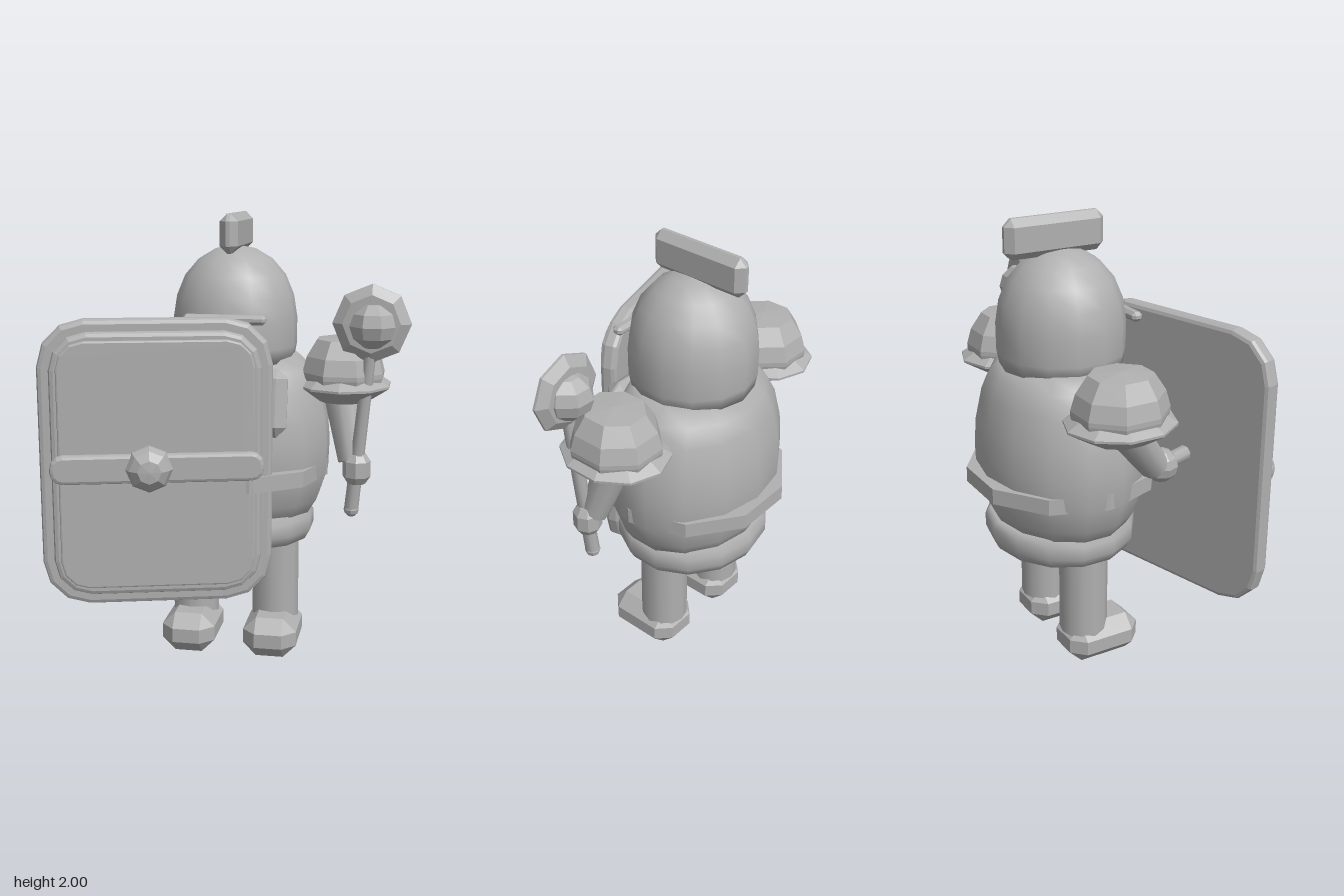
import * as THREE from 'three';
import { ConvexGeometry } from 'three/addons/geometries/ConvexGeometry.js';

const V = (x, y, z) => new THREE.Vector3(x, y, z);
const CX = -0.02, CZ = -0.14; // axis of the body

// Box with every edge and corner cut by c
function chamferBox(w, h, d, c) {
  const pts = [];
  for (const x of [-1, 1]) for (const y of [-1, 1]) for (const z of [-1, 1]) {
    const a = x * w / 2, b = y * h / 2, e = z * d / 2;
    pts.push(V(a, b - y * c, e - z * c), V(a - x * c, b, e - z * c), V(a - x * c, b - y * c, e));
  }
  return new ConvexGeometry(pts);
}

// Turned profile, listed from bottom to top
function turned(profile, sides, phase = 0) {
  return new THREE.LatheGeometry(profile.map(([r, y]) => new THREE.Vector2(r, y)), sides, phase);
}

// Slab with cut round corners and bevelled edges, back face at z = 0
function slab(w, h, r, depth, bevel) {
  const a = w / 2 - bevel, b = h / 2 - bevel;
  const s = new THREE.Shape();
  const corners = [[a - r, b - r, 0], [r - a, b - r, 1], [r - a, r - b, 2], [a - r, r - b, 3]];
  const pts = [];
  for (const [x, y, q] of corners) for (let i = 0; i <= 3; i++) {
    const t = (q + i / 3) * Math.PI / 2;
    pts.push(new THREE.Vector2(x + r * Math.cos(t), y + r * Math.sin(t)));
  }
  s.setFromPoints(pts);
  const g = new THREE.ExtrudeGeometry(s, {
    depth: depth - 2 * bevel, bevelEnabled: true, bevelSize: bevel, bevelThickness: bevel, bevelSegments: 2,
  });
  return g.translate(0, 0, bevel);
}

export function createModel() {
  const model = new THREE.Group();
  const smooth = new THREE.MeshStandardMaterial({ color: 0xb0b0b0 });
  smooth.name = 'plain grey';
  const faceted = smooth.clone();
  faceted.name = 'plain grey faceted';
  faceted.flatShading = true;

  function add(name, geo, pos, mat = faceted, parent = model) {
    const m = new THREE.Mesh(geo, mat);
    m.name = name;
    m.position.set(...pos);
    parent.add(m);
    return m;
  }
  // Tapered rod from a to b
  function rod(name, a, b, ra, rb, sides, mat) {
    const d = b.clone().sub(a);
    const m = add(name, new THREE.CylinderGeometry(rb, ra, d.length(), sides),
      a.clone().add(b).multiplyScalar(0.5).toArray(), mat);
    m.quaternion.setFromUnitVectors(V(0, 1, 0), d.normalize());
  }

  // Torso, hips and belt
  const torso = turned([[0, 0.62], [0.34, 0.64], [0.39, 0.72], [0.43, 0.84], [0.435, 0.98],
    [0.425, 1.1], [0.39, 1.24], [0.345, 1.32], [0.28, 1.38], [0, 1.4]], 14);
  add('torso', torso, [CX, 0, -0.155], smooth).scale.z = 0.82;
  const hips = turned([[0, 0.52], [0.28, 0.52], [0.34, 0.535], [0.365, 0.58], [0.365, 0.64],
    [0.34, 0.67], [0, 0.69]], 14);
  add('hips', hips, [CX, 0, -0.155], smooth).scale.z = 0.9;
  add('belt', new THREE.CylinderGeometry(0.426, 0.426, 0.07, 10, 1, false, Math.PI / 10),
    [CX, 0.865, CZ]);
  add('chestPlate', chamferBox(0.54, 0.3, 0.1, 0.045), [CX, 1.2, 0.11]).rotation.x = -0.18;

  // Helmet, crest and eye slit bar
  add('helmet', turned([[0, 1.35], [0.265, 1.355], [0.277, 1.42], [0.278, 1.54], [0.262, 1.64],
    [0.225, 1.73], [0.165, 1.8], [0.09, 1.845], [0, 1.862]], 14), [CX, 0, CZ], smooth);
  add('crest', chamferBox(0.08, 0.17, 0.46, 0.032), [CX, 1.915, -0.17]);
  add('eyeBar', chamferBox(0.36, 0.042, 0.05, 0.014), [CX, 1.56, 0.135]);

  // Legs, feet and shoulder armour
  for (const side of [-1, 1]) {
    const x = CX + side * 0.19;
    add('leg', new THREE.CylinderGeometry(0.108, 0.108, 0.44, 12), [x, 0.36, CZ], smooth);
    add('foot', chamferBox(0.245, 0.185, 0.35, 0.06), [x, 0.0925, -0.07]);
    const px = CX + side * 0.49;
    add('shoulderDome', turned([[0, 1.2], [0.19, 1.23], [0.205, 1.29], [0.205, 1.31], [0.185, 1.38],
      [0.135, 1.455], [0, 1.465]], 8, Math.PI / 8), [px, 0, CZ]).scale.x = 0.93;
    add('shoulderRim', turned([[0, 1.18], [0.13, 1.18], [0.19, 1.215], [0.24, 1.245], [0.24, 1.255],
      [0.19, 1.285], [0, 1.29]], 10), [px, 0, CZ]).scale.x = 0.9;
  }

  // Arms and hands
  rod('leftArm', V(0.455, 1.25, -0.15), V(0.52, 0.92, -0.055), 0.085, 0.06, 10, smooth);
  add('leftHand', turned([[0, -0.07], [0.04, -0.068], [0.062, -0.035], [0.062, 0.035],
    [0.04, 0.068], [0, 0.07]], 8), [0.545, 0.89, -0.035]);
  rod('rightArm', V(-0.5, 1.25, -0.14), V(-0.43, 0.98, 0.08), 0.085, 0.065, 10, smooth);
  add('rightHand', new THREE.SphereGeometry(0.075, 8, 6), [-0.42, 0.97, 0.12]);
  rod('shieldGrip', V(-0.42, 0.97, 0.12), V(-0.36, 0.97, 0.3), 0.035, 0.035, 8, smooth);

  // Mace
  const butt = V(0.525, 0.7, -0.035), tip = V(0.6, 1.48, 0);
  rod('maceShaft', butt, tip, 0.032, 0.026, 8, smooth);
  add('macePommel', new THREE.SphereGeometry(0.034, 8, 6), butt.toArray());
  const ball = add('maceBall', new THREE.SphereGeometry(0.108, 8, 6), [0.6, 1.53, -0.005]);
  ball.scale.set(0.97, 0.97, 1.1);
  ball.rotation.y = Math.PI / 8;
  const blade = turned([[0, -0.038], [0.125, -0.035], [0.17, -0.006], [0.17, 0.006],
    [0.125, 0.035], [0, 0.038]], 8);
  add('maceBlade', blade.rotateX(Math.PI / 2), [0.598, 1.54, 0]);

  // Shield, turned outward to its right
  const shield = new THREE.Group();
  shield.name = 'shield';
  shield.position.set(-0.285, 0.96, 0.293);
  shield.rotation.y = 0.27;
  model.add(shield);
  add('shieldRim', slab(0.99, 1.24, 0.18, 0.075, 0.02), [0, 0, -0.037], faceted, shield);
  add('shieldStep', slab(0.89, 1.14, 0.14, 0.05, 0.02), [0, 0, 0.015], faceted, shield);
  add('shieldPanel', slab(0.83, 1.07, 0.11, 0.03, 0.008), [0, 0, 0.045], faceted, shield);
  add('shieldBar', slab(0.9, 0.125, 0.04, 0.045, 0.015), [0, 0, 0.075], faceted, shield);
  const boss = turned([[0, 0], [0.1, 0], [0.1, 0.02], [0.085, 0.05], [0.05, 0.08], [0, 0.085]], 8);
  add('shieldBoss', boss.rotateX(Math.PI / 2), [-0.035, 0, 0.1], faceted, shield);

  return model;
}
